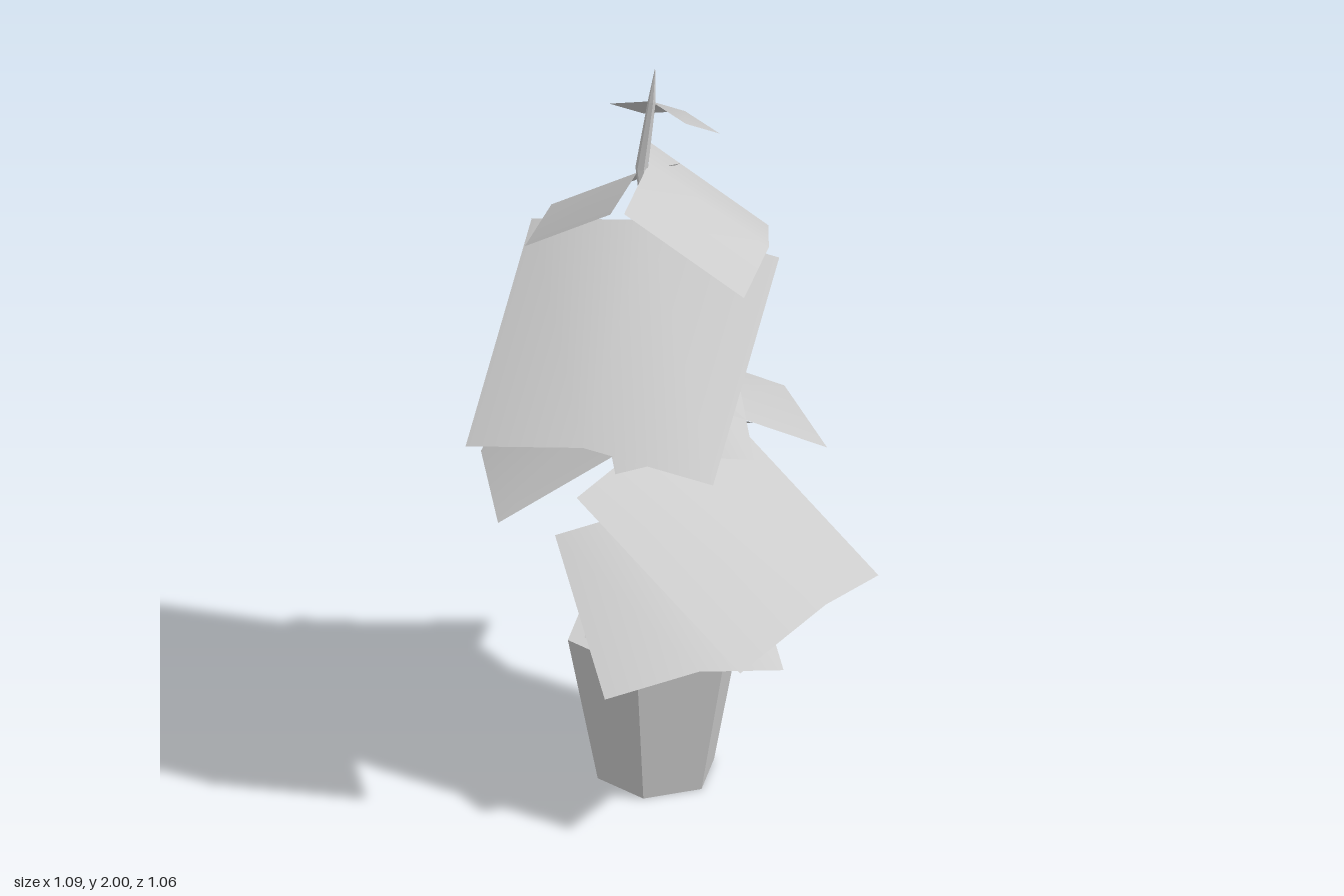
import * as THREE from 'three';

const V = (p) => new THREE.Vector3(...p);

// Square leaf, folded down along its midrib, running from base to tip
function makeLeaf(base, tip, material) {
  const b = V(base), t = V(tip);
  const dir = t.clone().sub(b);
  const size = dir.length();
  dir.normalize();
  const side = new THREE.Vector3(dir.z, 0, -dir.x).normalize();
  const normal = dir.clone().cross(side);
  const pos = [];
  for (const p of [b, t]) {
    for (const s of [-1, 0, 1]) {
      const q = p.clone().addScaledVector(side, s * size * 0.497)
        .addScaledVector(normal, -Math.abs(s) * size * 0.148);
      pos.push(q.x, q.y, q.z);
    }
  }
  const g = new THREE.BufferGeometry();
  g.setAttribute('position', new THREE.Float32BufferAttribute(pos, 3));
  g.setIndex([0, 3, 4, 0, 4, 1, 1, 4, 5, 1, 5, 2]);
  g.computeVertexNormals();
  const mesh = new THREE.Mesh(g, material);
  mesh.name = 'leaf';
  return mesh;
}

// Tapering crooked stem: each ring of a cylinder is moved to a path point
function makeStem(path, radii, material) {
  const n = path.length - 1;
  const g = new THREE.CylinderGeometry(1, 1, n, 6, n, true);
  const p = g.attributes.position;
  for (let i = 0; i < p.count; i++) {
    const k = Math.round(p.getY(i) + n / 2);
    const [x, y, z] = path[k];
    p.setXYZ(i, x + p.getX(i) * radii[k], y, z + p.getZ(i) * radii[k]);
  }
  g.computeVertexNormals();
  const mesh = new THREE.Mesh(g, material);
  mesh.name = 'stem';
  return mesh;
}

// Six-sided turned part with a corner on the x axis
function makeHex(name, profile, material) {
  const points = profile.map(([r, y]) => new THREE.Vector2(r, y));
  const mesh = new THREE.Mesh(new THREE.LatheGeometry(points, 6, Math.PI / 6), material);
  mesh.name = name;
  mesh.position.set(0.02, 0, -0.077);
  return mesh;
}

export function createModel() {
  const model = new THREE.Group();
  model.name = 'pottedPlant';
  const flat = new THREE.MeshStandardMaterial({ color: 0xcccccc, flatShading: true });
  const smooth = new THREE.MeshStandardMaterial({ color: 0xcccccc, side: THREE.DoubleSide });

  // Pot and soil
  model.add(makeHex('pot', [[0, 0], [0.152, 0], [0.23, 0.41], [0.187, 0.41], [0.172, 0.34]], flat));
  model.add(makeHex('soil', [[0.173, 0.345], [0, 0.345]], flat));

  // Stem
  model.add(makeStem(
    [[0.025, 0.34, -0.08], [0.02, 0.74, -0.115], [0.02, 1.0, -0.1], [0.035, 1.22, -0.07],
      [0.04, 1.41, -0.04], [0, 1.58, -0.07], [-0.012, 1.72, -0.092], [0.012, 1.91, -0.085], [0.02, 2, -0.083]],
    [0.027, 0.024, 0.022, 0.02, 0.019, 0.018, 0.016, 0.01, 0.001], flat));

  // Leaves from bottom to top: base and tip of each midrib
  const leaves = [
    [[0.02, 0.72, -0.13], [0.02, 0.465, 0.265]],
    [[0.034, 0.976, -0.068], [0.33, 0.637, 0.33]],
    [[0.018, 1.015, -0.11], [0.018, 0.75, -0.545]],
    [[0, 1.205, -0.06], [-0.4, 0.925, -0.19]],
    [[0.02, 1.23, -0.06], [0.39, 0.975, -0.18]],
    [[0.035, 1.25, -0.07], [0, 1.065, 0.23]],
    [[0.07, 1.415, -0.06], [0.12, 1.2, -0.358]],
    [[0, 1.58, -0.07], [-0.318, 1.225, 0.37]],
    [[-0.02, 1.7, -0.105], [-0.176, 1.525, -0.31]],
    [[0.008, 1.727, -0.096], [0.275, 1.515, 0.045]],
    [[0.01, 1.91, -0.085], [0.14, 1.79, -0.21]],
  ];
  for (const [base, tip] of leaves) model.add(makeLeaf(base, tip, smooth));

  return model;
}
